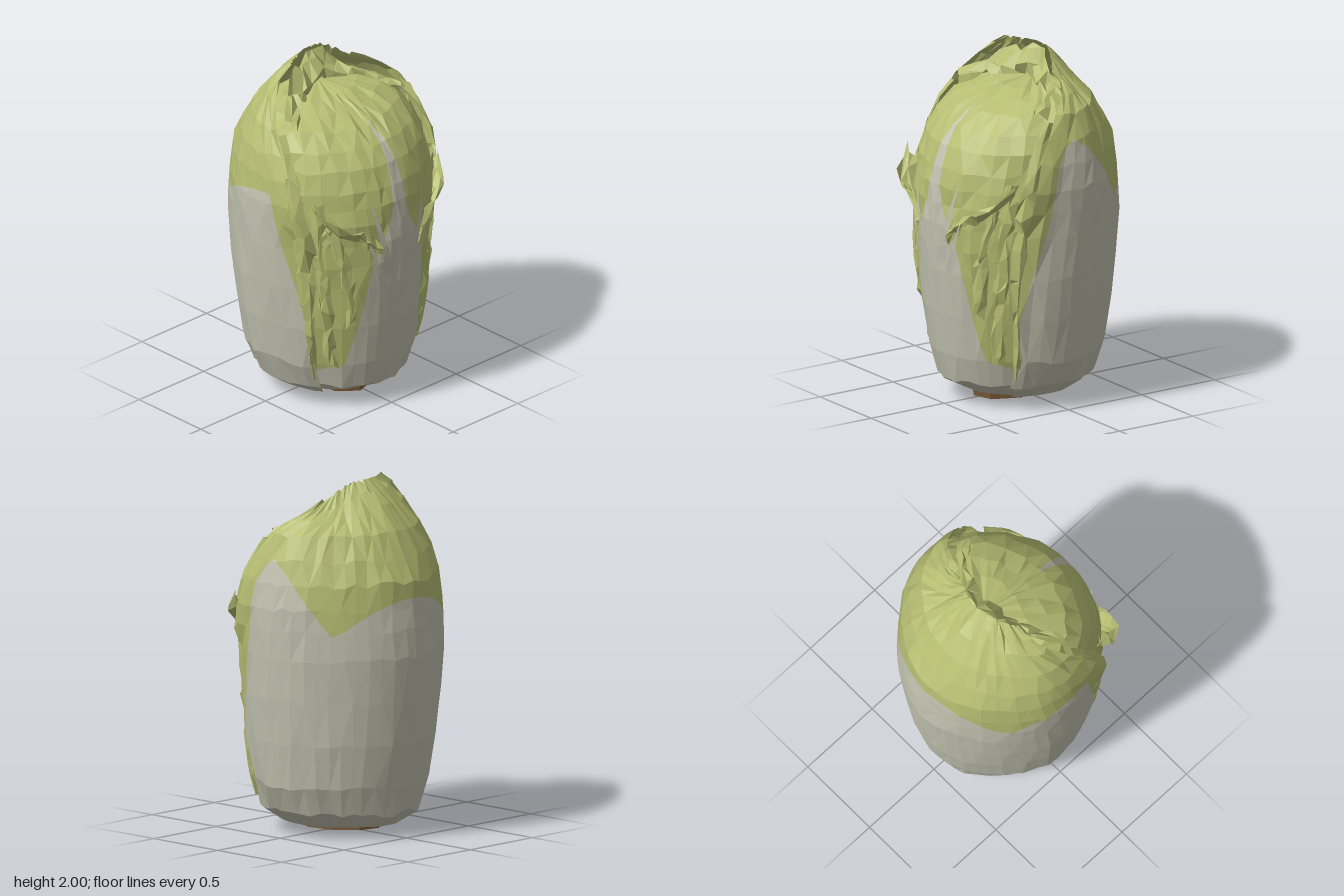
import * as THREE from 'three';

const DEG = Math.PI / 180;
const { smoothstep, clamp } = THREE.MathUtils;
const jitter = (i, j, k) => {
  const v = Math.sin(i * 12.9898 + j * 78.233 + k * 37.719) * 43758.5453;
  return v - Math.floor(v) - 0.5;
};

// Linear lookup in rows of [key, value, value, ...]
function lookup(table, key) {
  let i = 1;
  while (i < table.length - 1 && table[i][0] < key) i++;
  const a = table[i - 1], b = table[i];
  const t = clamp((key - a[0]) / (b[0] - a[0]), 0, 1);
  return a.map((v, n) => v + (b[n] - v) * t);
}

// Outer leaf: y, x radius, z radius, half angle measured from -x
const WRAP = [
  [0.035, 0.2, 0.2, 128], [0.055, 0.36, 0.33, 128], [0.14, 0.47, 0.44, 128], [0.3, 0.505, 0.51, 127],
  [0.55, 0.545, 0.55, 125], [0.8, 0.57, 0.575, 123], [1.05, 0.588, 0.59, 120], [1.2, 0.578, 0.598, 118],
  [1.33, 0.565, 0.598, 116], [1.47, 0.55, 0.58, 113], [1.6, 0.485, 0.55, 109], [1.73, 0.405, 0.495, 101],
  [1.86, 0.3, 0.415, 87], [1.94, 0.225, 0.345, 74], [2.0, 0.165, 0.29, 60]];

// Inner head: y, radius to +x, radius to -x, z radius, centre x
const HEAD = [
  [0.04, 0, 0, 0, 0], [0.055, 0.32, 0.28, 0.3, 0], [0.14, 0.47, 0.42, 0.41, 0], [0.3, 0.51, 0.45, 0.465, 0],
  [0.55, 0.545, 0.5, 0.505, 0], [0.8, 0.57, 0.53, 0.535, 0], [0.95, 0.578, 0.54, 0.545, 0],
  [1.08, 0.582, 0.55, 0.555, 0], [1.2, 0.578, 0.54, 0.56, 0], [1.3, 0.568, 0.52, 0.56, 0],
  [1.4, 0.548, 0.5, 0.55, 0], [1.52, 0.5, 0.46, 0.53, 0], [1.62, 0.43, 0.41, 0.495, 0],
  [1.7, 0.345, 0.33, 0.44, -0.02], [1.76, 0.25, 0.24, 0.36, -0.05], [1.8, 0.17, 0.14, 0.25, -0.08],
  [1.83, 0, 0, 0, -0.11]];

// Half width of the thick pale rib on the +x side
const RIB = [[0.14, 0.6], [0.2, 0.31], [0.35, 0.26], [0.6, 0.235], [0.85, 0.2], [1.0, 0.165],
  [1.1, 0.115], [1.2, 0.065], [1.3, 0.05], [1.5, 0.035], [1.75, 0]];

function wrapPoint(s, y, off = 0) {
  const [, rx, rz, half] = lookup(WRAP, y), a = s * half * DEG;
  // Slightly flat between the ribs; the side rims flare at shoulder height
  const flat = a > -90 * DEG && a < 90 * DEG ? 0.022 * Math.sin(2 * a) ** 2 : 0;
  const flare = 0.03 * smoothstep(Math.abs(s), 0.85, 1) * smoothstep(y, 1, 1.35) * (1 - smoothstep(y, 1.4, 1.65));
  const r = off + flare - flat;
  return new THREE.Vector3(-Math.cos(a) * (rx + r), y, Math.sin(a) * (rz + r));
}
function headPoint(deg, y, off = 0) {
  const [, rp, rm, rz, cx] = lookup(HEAD, y), c = Math.cos(deg * DEG);
  return new THREE.Vector3(cx + c * ((c > 0 ? rp : rm) + off), y, Math.sin(deg * DEG) * (rz + off));
}

// Faceted mesh from a flat list of triangle corners
function facetMesh(points, material, name) {
  const g = new THREE.BufferGeometry().setFromPoints(points);
  g.computeVertexNormals();
  const m = new THREE.Mesh(g, material);
  m.name = name;
  return m;
}

// Grid of points -> triangles; split along value = 0 into two lists
function splitGrid(nu, nv, point, value = () => -1) {
  const pale = [], green = [];
  const grid = [];
  for (let j = 0; j <= nv; j++) for (let i = 0; i <= nu; i++) {
    const p = point(i, j);
    grid.push({ p, f: value(p, i, j) });
  }
  const clip = (tri, sign, out) => {
    const poly = [];
    tri.forEach((a, n) => {
      const b = tri[(n + 1) % 3], fa = a.f * sign, fb = b.f * sign;
      if (fa >= 0) poly.push(a.p);
      if (fa * fb < 0) poly.push(a.p.clone().lerp(b.p, fa / (fa - fb)));
    });
    for (let n = 2; n < poly.length; n++) out.push(poly[0], poly[n - 1], poly[n]);
  };
  for (let j = 0; j < nv; j++) for (let i = 0; i < nu; i++) {
    const a = grid[j * (nu + 1) + i], b = grid[j * (nu + 1) + i + 1];
    const d = grid[(j + 1) * (nu + 1) + i], c = grid[(j + 1) * (nu + 1) + i + 1];
    const tris = (i + j) % 2 ? [[a, d, b], [b, d, c]] : [[a, d, c], [a, c, b]];
    for (const t of tris) { clip(t, 1, pale); clip(t, -1, green); }
  }
  return { pale, green };
}

// Crumpled ribbon; at(q, p, off): q along, p across, off outward
function ruffle(at, n, seed, material, name, lift = 0.018) {
  const { green } = splitGrid(n, 3, (i, j) => {
    const q = clamp((i + jitter(i, j, seed) * 0.9) / n, 0, 1);
    const p = j / 3 + jitter(j, i, seed + 3) * 0.35;
    const crest = [0, 0.6, 1, 0.2][j] * lift;
    const v = at(q, p, crest + jitter(i, j, seed + 7) * lift * 1.3);
    v.y = Math.min(2, v.y + jitter(i, j, seed + 9) * 0.04);
    return v;
  });
  return facetMesh(green, material, name);
}

export function createModel() {
  const mat = (name, color) => {
    const m = new THREE.MeshStandardMaterial({ color, side: THREE.DoubleSide });
    m.name = name;
    return m;
  };
  const leafGreen = mat('leaf green', 0xb6bd72);
  const ribPale = mat('pale rib', 0xc2c2b0);
  const stumpBrown = mat('stump brown', 0x7c5c3a);
  const model = new THREE.Group();
  model.name = 'cabbage';

  // Inner head, columns packed closer around the +x rib
  const cols = 18;
  const ribValue = (p) => (p.x < 0 && p.y > 0.14 ? -0.1 : lookup(RIB, p.y)[1] - Math.abs(p.z));
  const head = splitGrid(cols * 2, HEAD.length - 1, (i, j) => {
    const k = (i - cols) / cols, y = HEAD[j][0];
    const deg = 180 * Math.sign(k) * Math.pow(Math.abs(k), 1.4);
    const p = headPoint(deg, y);
    if (j === 0 || j === HEAD.length - 1 || Math.abs(k) === 1) return p;
    const rough = ribValue(p) > 0 ? 0.008 : 0.022;
    const q = headPoint(deg + jitter(j, i, 2) * rough * 120, y, jitter(i, j, 1) * rough);
    if (y > 0.1) q.y += jitter(i, j, 5) * (y < 0.2 ? 0.03 : rough);
    return q;
  }, ribValue);
  model.add(facetMesh(head.green, leafGreen, 'headBlade'), facetMesh(head.pale, ribPale, 'headRib'));

  // Large leaf wrapped around the -x side
  const wrapRib = (s, y) => {
    const a = s * lookup(WRAP, y)[3];
    let top = 1.16 + 0.22 * Math.abs(Math.cos(1.8 * a * DEG)) ** 0.8;
    if (a < -55) top += 0.24 * Math.max(0, 1 - Math.abs(a + 88) / 33);
    const margin = 0.995 - 0.1 * smoothstep(y, 0.4, 1.25);
    return Math.min(top - y, (margin - Math.abs(s)) * 3);
  };
  const wu = 32, last = WRAP.length - 1;
  const wrap = splitGrid(wu, last, (i, j) => {
    const s0 = (i / wu) * 2 - 1, edge = smoothstep(Math.abs(s0), 0.85, 1);
    const s = s0 + (edge ? 0 : (jitter(j, i, 17) * 0.8) / wu);
    const p = wrapPoint(s, WRAP[j][0], jitter(i, j, 11) * (0.009 + 0.015 * edge));
    if (j > 1) p.y += jitter(i, j, 13) * 0.035;
    // The crown is highest toward the front
    p.y -= 0.1 * smoothstep(p.y, 1.7, 2) * smoothstep(-p.z, 0.05, 0.25);
    p.y = Math.min(p.y, 2);
    return p;
  }, (p) => {
    const s = Math.atan2(p.z, -p.x) / (lookup(WRAP, p.y)[3] * DEG);
    return wrapRib(clamp(s, -1, 1), p.y);
  });
  model.add(facetMesh(wrap.green, leafGreen, 'outerLeafBlade'), facetMesh(wrap.pale, ribPale, 'outerLeafRib'));

  // Rolled rim of the outer leaf, leaning down onto the head
  model.add(ruffle((q, p, off) => {
    const b = q * 1.8 - 0.9, b2 = b * b;
    const drop = 0.08 * smoothstep(-b, 0.1, 0.5);
    const outer = new THREE.Vector3(-0.15 + 0.3 * b2, 1.97 - 0.24 * b2 - drop, 0.49 * b);
    const inner = new THREE.Vector3(-0.06 + 0.26 * b2, 1.81 - 0.13 * b2, 0.42 * b);
    const v = outer.lerp(inner, p);
    v.x += off;
    v.y += off;
    return v;
  }, 16, 71, leafGreen, 'outerLeafRim', 0.025));

  // Crumpled edges: angle from +x and height along each fold, width in degrees,
  // rise for folds lying sideways and flare for tips standing off the head
  const folds = [
    { path: [[0, 40, 0.27], [0.35, 43, 0.65], [0.7, 45, 1.0], [1, 47, 1.35]], width: 9, n: 11 },
    { path: [[0, 14, 0.98], [0.4, 25, 1.08], [0.75, 41, 1.16], [1, 54, 1.3]], width: 0, rise: 0.08, flare: 0.1, n: 8 },
    { path: [[0, 28, 0.55], [0.5, 32, 0.9], [1, 40, 1.2]], width: 8, n: 7 },
    { path: [[0, 54, 1.25], [0.5, 62, 1.48], [1, 74, 1.64]], width: 11, n: 6 },
  ];
  for (const side of [1, -1]) {
    folds.forEach(({ path, width, rise = 0, flare = 0, n }, f) => {
      model.add(ruffle((q, p, off) => {
        const [, deg, y] = lookup(path, q);
        const out = flare * p * smoothstep(q, 0.35, 0.7) * (side > 0 ? 1 : 0.6);
        return headPoint(side * (deg + p * width), y + p * rise, off + out);
      }, n, 20 + f * 5 + side, leafGreen, 'leafFold'));
    });
    // Frill along the rim of the wrapped leaf
    model.add(ruffle((q, p, off) => {
      const y = 0.2 + q * 1.5;
      const width = 0.03 + 0.07 * Math.min(1, q * 2);
      return wrapPoint(side * (0.96 + p * width), y, off - 0.02);
    }, 14, 50 + side, leafGreen, 'outerLeafFrill', 0.025));

    // Side veins branching off the rib
    for (const [d0, y0, d1, y1, w] of [[8, 0.86, 21, 1.36, 3.4], [13, 0.8, 25, 1.18, 2]]) {
      const vein = splitGrid(5, 1, (i, j) => {
        const t = i / 5, deg = d0 + (d1 - d0) * t + (j - 0.5) * 2 * w * (1 - t);
        return headPoint(side * deg, y0 + (y1 - y0) * t, 0.004 + 0.01 * Math.min(1, t * 3));
      });
      model.add(facetMesh(vein.green, ribPale, 'sideVein'));
    }
  }

  // Cut stump
  const stumpShape = new THREE.CylinderGeometry(0.275, 0.27, 0.036, 9).toNonIndexed();
  stumpShape.scale(1, 1, 0.68);
  stumpShape.computeVertexNormals();
  const stump = new THREE.Mesh(stumpShape, stumpBrown);
  stump.name = 'stump';
  stump.position.set(0.01, 0.029, 0);
  stump.rotation.z = -0.04;
  model.add(stump);
  return model;
}
